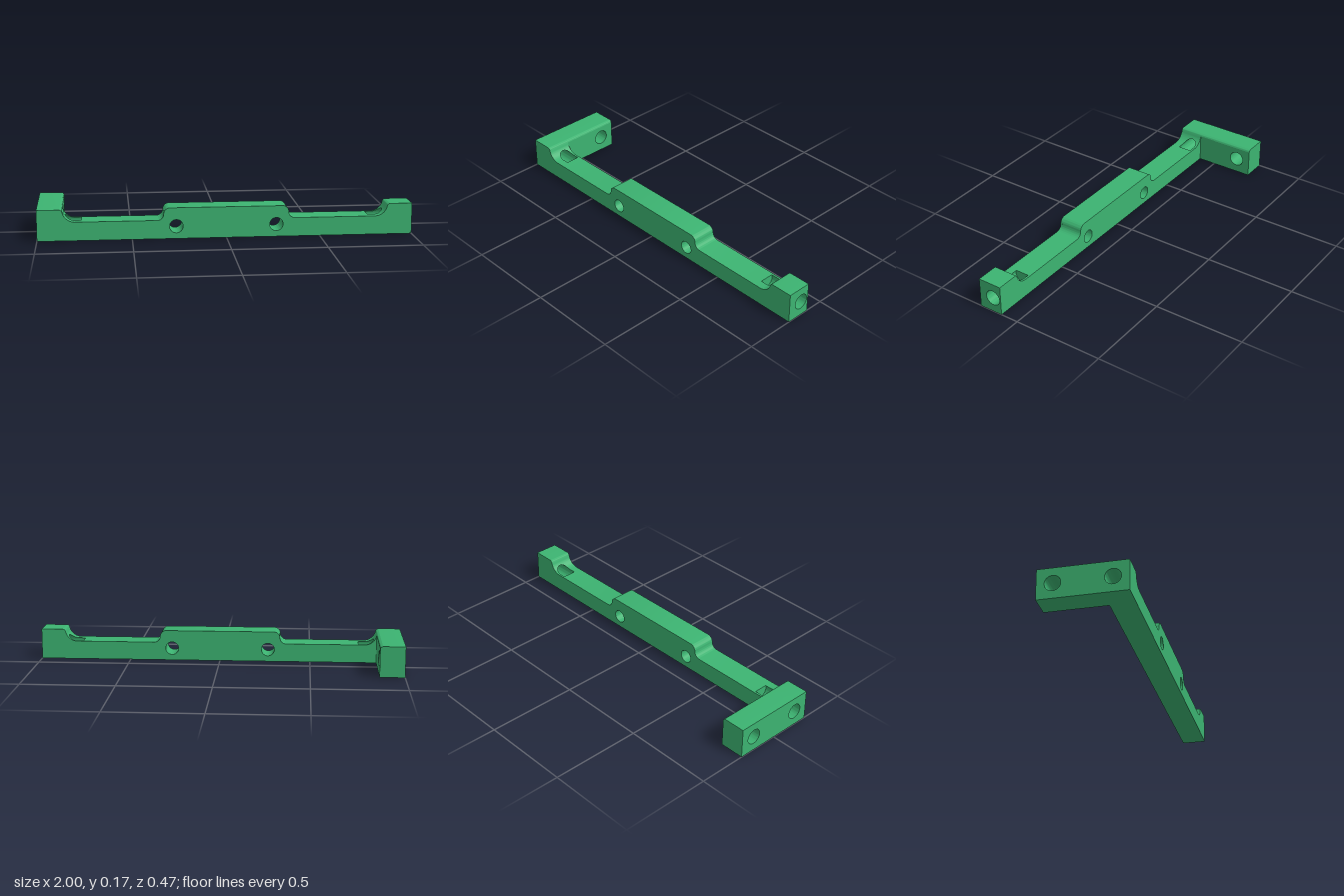
import * as THREE from 'three';
import { toCreasedNormals } from 'three/addons/utils/BufferGeometryUtils.js';

const H = 1 / 6, LOW = 0.1;              // full height, height of the lowered floor
const Z0 = 0.1, Z1 = 0.2333, ZB = -0.2333; // bar back, bar front, arm back
const BORE_Y = 1 / 12, BORE_R = 1 / 24, BORE_Z = 0.15, BORE_END = 0.7667;
const R = 1 / 15, F = 1 / 60, TAN = Math.asin(0.2); // cove radius, edge fillet, their tangent angle
const FX = 0.8 + Math.sqrt((R + F) ** 2 - F * F);   // fillet centre
const FACE = 0.8 + R * Math.cos(TAN), FACE_Y = H - R * 0.2;
const PI = Math.PI;

const coveX = y => 0.8 + Math.sqrt(Math.max(0, R * R - (H - y) ** 2));
const boreAt = t => [BORE_Y + BORE_R * Math.sin(t), BORE_Z + BORE_R * Math.cos(t)];
const crease = g => toCreasedNormals(g, 0.6);

// rectangle in (-z, y) with a round hole, for faces looking along x
function platedHole(zFront, zBack, height, holeZ) {
  const s = new THREE.Shape([[-zFront, 0], [-zBack, 0], [-zBack, height], [-zFront, height]]
    .map(p => new THREE.Vector2(...p)));
  s.holes.push(new THREE.Path().absarc(-holeZ, BORE_Y, BORE_R, 0, 2 * PI, true));
  return s;
}

// bar between the bores: stepped profile with two cross holes
function middleGeometry() {
  const r = 1 / 30, y = H - r, s = new THREE.Shape();
  s.moveTo(-BORE_END, 0);
  s.lineTo(BORE_END, 0);
  s.lineTo(BORE_END, LOW);
  s.lineTo(0.3667, LOW);
  s.absarc(0.3667, y, r, -PI / 2, -PI, true);
  s.absarc(0.3, y, r, 0, PI / 2, false);
  s.absarc(-0.3, y, r, PI / 2, PI, false);
  s.absarc(-0.3667, y, r, 0, -PI / 2, true);
  s.lineTo(-BORE_END, LOW);
  for (const x of [-0.2667, 0.2667])
    s.holes.push(new THREE.Path().absarc(x, 0.0667, 0.0358, 0, 2 * PI, true));
  const g = new THREE.ExtrudeGeometry(s, { depth: Z1 - Z0, bevelEnabled: false, curveSegments: 20 });
  return crease(g.translate(0, 0, Z0));
}

// bar end at +x: coved block whose long bore breaks through the lowered floor
function endGeometry() {
  const pos = [];
  const quad = (a, b, c, d) => pos.push(...a, ...b, ...c, ...a, ...c, ...d);
  const N = 16, s = Math.asin((LOW - BORE_Y) / BORE_R);
  const rise = [];
  for (let i = 0; i <= N; i++) rise.push(s + (PI / 2 - s) * (i / N) ** 2);

  // top profile as [x, y, half width of the bore opening]
  const w0 = BORE_R * Math.cos(s);
  const top = [[BORE_END, LOW, w0]];
  for (const t of rise) top.push([coveX(boreAt(t)[0]), boreAt(t)[0], BORE_R * Math.cos(t)]);
  const a0 = Math.asin((H - BORE_Y - BORE_R) / R);
  for (let i = 1; i <= 8; i++) {
    const a = -a0 + (a0 - TAN) * i / 8;
    top.push([0.8 + R * Math.cos(a), H + R * Math.sin(a), 0]);
  }
  for (let i = 1; i <= 8; i++) {
    const a = PI - TAN - (PI / 2 - TAN) * i / 8;
    top.push([FX + F * Math.cos(a), H - F + F * Math.sin(a), 0]);
  }
  top.push([1, H, 0]);

  // sides and top strips beside the opening
  for (let i = 0; i + 1 < top.length; i++) {
    const [ax, ay, aw] = top[i], [bx, by, bw] = top[i + 1];
    quad([ax, 0, Z1], [bx, 0, Z1], [bx, by, Z1], [ax, ay, Z1]);
    quad([ax, ay, Z0], [bx, by, Z0], [bx, 0, Z0], [ax, 0, Z0]);
    quad([ax, ay, Z0], [ax, ay, BORE_Z - aw], [bx, by, BORE_Z - bw], [bx, by, Z0]);
    quad([ax, ay, BORE_Z + aw], [ax, ay, Z1], [bx, by, Z1], [bx, by, BORE_Z + bw]);
  }
  quad([BORE_END, 0, Z0], [1, 0, Z0], [1, 0, Z1], [BORE_END, 0, Z1]);

  // bore wall: upper part stops at the cove, lower part runs to the blind end
  const wall = (t0, t1, x0, x1) => {
    const p = boreAt(t0), q = boreAt(t1);
    quad([x1, ...q], [1, ...q], [1, ...p], [x0, ...p]);
  };
  for (let i = 0; i < N; i++) {
    const t0 = rise[i], t1 = rise[i + 1];
    const x0 = coveX(boreAt(t0)[0]), x1 = coveX(boreAt(t1)[0]);
    wall(t0, t1, x0, x1);
    wall(PI - t1, PI - t0, x1, x0);
  }
  const span = PI + 2 * s, M = 32;
  for (let i = 0; i < M; i++)
    wall(PI - s + span * i / M, PI - s + span * (i + 1) / M, BORE_END, BORE_END);

  // end face with the bore mouth
  const face = new THREE.ShapeGeometry(platedHole(Z1, Z0, H, BORE_Z), 24)
    .rotateY(PI / 2).translate(1, 0, 0).toNonIndexed();
  for (const v of face.attributes.position.array) pos.push(v);

  const g = new THREE.BufferGeometry();
  g.setAttribute('position', new THREE.Float32BufferAttribute(pos, 3));
  return g;
}

// mirror a non-indexed geometry across x = 0, keeping faces outward
function mirrorX(g) {
  const m = g.clone(), src = g.attributes.position, p = m.attributes.position;
  for (let i = 0; i < p.count; i++) {
    const j = i - (i % 3) + (2 - (i % 3));
    p.setXYZ(i, -src.getX(j), src.getY(j), src.getZ(j));
  }
  return m;
}

// lower part of the side arm, with its through hole
function armGeometry() {
  const g = new THREE.ExtrudeGeometry(platedHole(Z0, ZB, FACE_Y, -BORE_Z),
    { depth: 1 - FACE, bevelEnabled: false, curveSegments: 24 });
  return crease(g.rotateY(PI / 2).translate(-1, 0, 0));
}

// rounded top of the side arm
function armTopGeometry() {
  const s = new THREE.Shape();
  s.moveTo(-1, FACE_Y);
  s.lineTo(-FACE, FACE_Y);
  s.absarc(-FX, H - F, F, TAN, PI / 2, false);
  s.lineTo(-1, H);
  const g = new THREE.ExtrudeGeometry(s, { depth: Z0 - ZB, bevelEnabled: false, curveSegments: 10 });
  return crease(g.translate(0, 0, ZB));
}

export function createModel() {
  const group = new THREE.Group();
  group.name = 'bracket';
  const material = new THREE.MeshStandardMaterial({ color: 0x3cb371 });
  const add = (name, geometry) => {
    const mesh = new THREE.Mesh(geometry, material);
    mesh.name = name;
    group.add(mesh);
  };
  const end = endGeometry();
  add('barMiddle', middleGeometry());
  add('leftEnd', crease(end));
  add('rightEnd', crease(mirrorX(end)));
  add('sideArm', armGeometry());
  add('sideArmTop', armTopGeometry());
  return group;
}
